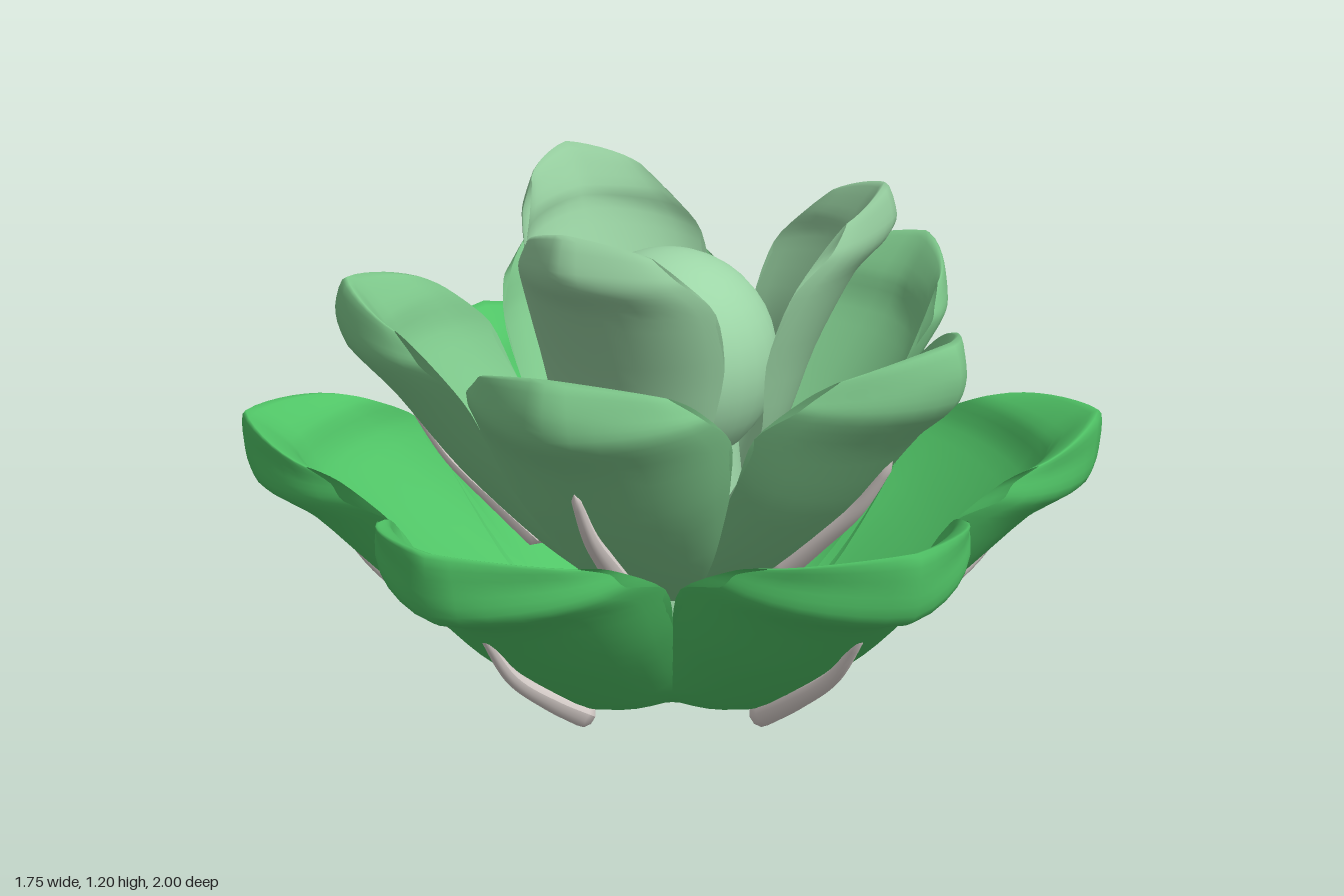
import * as THREE from 'three';

const material = (name, color) => {
  const m = new THREE.MeshStandardMaterial({ color, side: THREE.DoubleSide });
  m.name = name;
  return m;
};

// Thick cupped petal facing +z. Each row: [centre r, centre y, half width, edge r, edge y],
// running up the outside and over the pointed lip; the inside then returns to the base.
function petalGeometry(rows, lip, thickness) {
  const inside = rows.slice(0, -1).reverse().map(([r, y, w, er, ey], i, all) => {
    const t = i === all.length - 1 ? 0 : thickness;
    return [r - t * 0.5, y + t, w, er, ey];
  });
  const loop = [...rows, ...lip, ...inside];
  const bend = (i) => (i >= rows.length && i < rows.length + lip.length ? 1.25 : i === rows.length - 1 ? 1.45 : 1.7);
  const centre = new THREE.CatmullRomCurve3(loop.map(([r, y, w]) => new THREE.Vector3(w, y, r)), false, 'catmullrom', 0.4);
  const edge = new THREE.CatmullRomCurve3(loop.map(([, , , er, ey], i) => new THREE.Vector3(bend(i), ey, er)), false, 'catmullrom', 0.4);
  const across = 14, along = (loop.length - 1) * 4;
  const position = [], index = [];
  for (let i = 0; i <= along; i++) {
    const c = centre.getPoint(i / along), e = edge.getPoint(i / along);
    for (let j = 0; j <= across; j++) {
      const u = (2 * j) / across - 1;
      const f = Math.pow(Math.abs(u), e.x);
      position.push(
        c.x * Math.sin(u * 1.2) / Math.sin(1.2),
        c.y + (e.y - c.y) * f,
        c.z + (e.z - c.z) * f
      );
      if (i < along && j < across) {
        const a = i * (across + 1) + j, b = a + across + 1;
        index.push(a, a + 1, b, a + 1, b + 1, b);
      }
    }
  }
  const g = new THREE.BufferGeometry();
  g.setAttribute('position', new THREE.Float32BufferAttribute(position, 3));
  g.setIndex(index);
  g.computeVertexNormals();
  return g;
}

// Rib that is blunt at the bottom and fades to a point; path points are [r, y]
function ribGeometry(path, radius) {
  const curve = new THREE.CatmullRomCurve3(path.map(([r, y]) => new THREE.Vector3(0, y, r)));
  const steps = 20, sides = 10;
  const g = new THREE.TubeGeometry(curve, steps, radius, sides);
  const p = g.attributes.position, v = new THREE.Vector3();
  for (let i = 0; i <= steps; i++) {
    const c = curve.getPointAt(i / steps);
    const s = i === 0 ? 0.05 : 1 - 0.7 * (i / steps) - (i === steps ? 0.28 : 0);
    for (let j = 0; j <= sides; j++) {
      const k = i * (sides + 1) + j;
      v.fromBufferAttribute(p, k).sub(c).multiplyScalar(s).add(c);
      p.setXYZ(k, v.x, v.y, v.z);
    }
  }
  g.computeVertexNormals();
  return g;
}

export function createModel() {
  const model = new THREE.Group();
  model.name = 'flower';
  const ribMaterial = material('pale grey', 0xdcd3cf);
  const heartMaterial = material('palest green', 0x9dd6a7);

  const rings = [
    {
      name: 'outerPetal', count: 6, start: 0, thickness: 0.05,
      material: material('bright green', 0x50c466),
      rows: [
        [0.19, 0.015, 0.11, 0.17, 0.025],
        [0.42, 0.09, 0.235, 0.36, 0.18],
        [0.66, 0.27, 0.31, 0.53, 0.39],
        [0.85, 0.45, 0.34, 0.62, 0.53],
        [0.975, 0.515, 0.31, 0.73, 0.57]
      ],
      lip: [[0.998, 0.6, 0.29, 0.76, 0.605], [0.99, 0.675, 0.25, 0.82, 0.63], [0.89, 0.6, 0.28, 0.74, 0.605]],
      rib: [[0.38, 0.05], [0.55, 0.165], [0.7, 0.285], [0.8, 0.42]]
    },
    {
      name: 'middlePetal', count: 5, start: 22, thickness: 0.055,
      material: material('soft green', 0x7ec88b),
      rows: [
        [0.13, 0.22, 0.11, 0.11, 0.25],
        [0.32, 0.37, 0.215, 0.25, 0.45],
        [0.5, 0.55, 0.27, 0.38, 0.65],
        [0.65, 0.74, 0.295, 0.45, 0.79],
        [0.755, 0.84, 0.275, 0.54, 0.86]
      ],
      lip: [[0.775, 0.92, 0.25, 0.57, 0.89], [0.745, 0.99, 0.21, 0.61, 0.93], [0.665, 0.89, 0.25, 0.55, 0.89]],
      rib: [[0.3, 0.34], [0.41, 0.445], [0.52, 0.555], [0.61, 0.69]]
    },
    {
      name: 'innerPetal', count: 3, start: 62, thickness: 0.045,
      material: material('pale green', 0x96ce9f),
      rows: [
        [0.12, 0.42, 0.1, 0.1, 0.45],
        [0.25, 0.62, 0.185, 0.19, 0.66],
        [0.33, 0.84, 0.235, 0.2, 0.86],
        [0.42, 1.02, 0.24, 0.25, 1.01],
        [0.49, 1.09, 0.21, 0.32, 1.08]
      ],
      lip: [[0.51, 1.14, 0.19, 0.35, 1.11], [0.48, 1.215, 0.15, 0.38, 1.16], [0.415, 1.12, 0.19, 0.32, 1.1]]
    }
  ];

  // Three rings of petals, the lower two with ribs on their backs
  for (const ring of rings) {
    const petal = petalGeometry(ring.rows, ring.lip, ring.thickness);
    const rib = ring.rib && ribGeometry(ring.rib, 0.032);
    for (let i = 0; i < ring.count; i++) {
      const group = new THREE.Group();
      group.name = ring.name + (i + 1);
      group.rotation.y = THREE.MathUtils.degToRad(ring.start + (360 * i) / ring.count);
      const blade = new THREE.Mesh(petal, ring.material);
      blade.name = 'blade';
      group.add(blade);
      if (rib) {
        const spine = new THREE.Mesh(rib, ribMaterial);
        spine.name = 'rib';
        group.add(spine);
      }
      model.add(group);
    }
  }

  // Round heart
  const heart = new THREE.Mesh(new THREE.SphereGeometry(0.255, 32, 20), heartMaterial);
  heart.name = 'heart';
  heart.position.set(0, 0.8, -0.02);
  model.add(heart);

  // Core closing the underside
  const profile = [[0, 0.03], [0.2, 0.03], [0.25, 0.12], [0.18, 0.35], [0.15, 0.65]];
  const core = new THREE.Mesh(
    new THREE.LatheGeometry(profile.map(([x, y]) => new THREE.Vector2(x, y)), 24),
    heartMaterial
  );
  core.name = 'core';
  model.add(core);

  return model;
}
